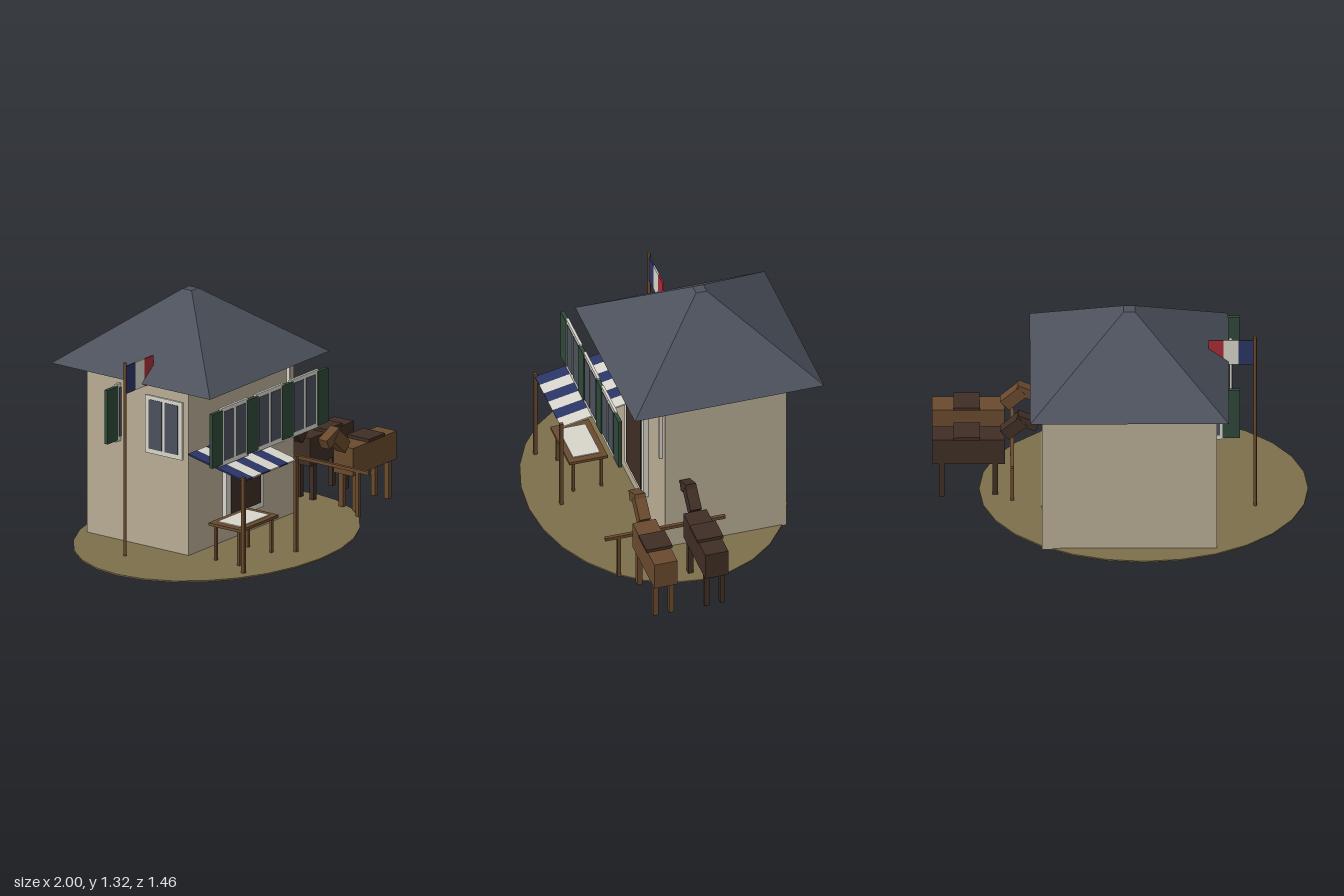
import * as THREE from 'three';

const mat = (name, color) => {
  const m = new THREE.MeshStandardMaterial({ color });
  m.name = name;
  return m;
};

export function createModel() {
  const earth = mat('earth', 0x7d6f4c);
  const plaster = mat('plaster', 0xb9ad95);
  const slate = mat('slate', 0x4c515c);
  const cream = mat('cream', 0xd8d6cb);
  const green = mat('shutter green', 0x30493a);
  const navy = mat('navy', 0x2b3565);
  const red = mat('red', 0xa82c36);
  const wood = mat('wood', 0x6a4a2e);
  const dark = mat('dark brown', 0x3f2e25);

  const model = new THREE.Group();
  const add = (parent, name, geometry, material, x = 0, y = 0, z = 0) => {
    const mesh = new THREE.Mesh(geometry, material);
    mesh.name = name;
    mesh.position.set(x, y, z);
    parent.add(mesh);
    return mesh;
  };
  const box = (parent, name, material, w, h, d, x, y, z) =>
    add(parent, name, new THREE.BoxGeometry(w, h, d), material, x, y, z);
  const group = (name, parent = model) => {
    const g = new THREE.Group();
    g.name = name;
    parent.add(g);
    return g;
  };

  // Oval ground plate
  const ground = add(model, 'ground', new THREE.CylinderGeometry(1, 1, 0.008, 28), earth, -0.125, 0.008, 0.033);
  ground.scale.set(0.875, 1, 0.695);

  // House walls and four-sided roof with a small flat top
  const house = group('house');
  box(house, 'walls', plaster, 0.93, 0.93, 0.676, -0.048, 0.47, -0.199);
  const roofGeo = new THREE.CylinderGeometry(0.03 * Math.SQRT2, 0.528 * Math.SQRT2, 0.385, 4, 1).toNonIndexed();
  roofGeo.rotateY(Math.PI / 4);
  roofGeo.computeVertexNormals();
  add(house, 'roof', roofGeo, slate, -0.048, 1.1275, -0.2);

  // Door
  box(house, 'doorFrame', cream, 0.332, 0.58, 0.028, -0.048, 0.42, 0.152);
  box(house, 'door', dark, 0.262, 0.52, 0.034, -0.046, 0.42, 0.154);

  // Windows: frame, two panes, optional pair of shutters
  const addWindow = (name, x, z, turn, shutters) => {
    const g = group(name, house);
    g.position.set(x, 0.728, z);
    g.rotation.y = turn;
    box(g, 'windowFrame', cream, 0.247, 0.322, 0.015, 0, 0, 0);
    for (const s of [-1, 1]) {
      box(g, 'pane', slate, 0.086, 0.275, 0.02, s * 0.053, 0.002, 0);
      if (shutters) box(g, 'shutter', green, 0.092, 0.302, 0.02, s * 0.157, 0, 0.002 + s * 0.0005);
    }
  };
  for (const x of [-0.433, -0.123, 0.187]) addWindow('frontWindow', x, 0.378, 0, true);
  addWindow('rearWindow', -0.433, -0.319, 0, true);
  addWindow('leftWindow', -0.588, 0.033, -Math.PI / 2, false);
  addWindow('rightWindow', 0.36, 0.033, Math.PI / 2, false);

  // Striped awning on two posts
  const awning = group('awning');
  const cloth = group('awningCloth', awning);
  cloth.position.set(-0.34, 0.561, 0.366);
  cloth.rotation.x = Math.atan2(0.077, 0.373);
  for (let i = 0; i < 6; i++)
    box(cloth, 'stripe', i % 2 ? cream : navy, 0.0775, 0.009, 0.381, (i - 2.5) * 0.0775, 0, 0);
  for (const x of [-0.575, -0.113])
    box(awning, 'awningPost', wood, 0.019, 0.537, 0.019, x, 0.277, 0.551);

  // Table with a cloth
  const table = group('table');
  box(table, 'tableTop', wood, 0.335, 0.016, 0.215, -0.345, 0.213, 0.378);
  box(table, 'tableCloth', cream, 0.26, 0.006, 0.15, -0.345, 0.223, 0.378);
  for (const x of [-0.487, -0.203])
    for (const z of [0.3, 0.456])
      box(table, 'tableLeg', wood, 0.015, 0.2, 0.015, x, 0.106, z);

  // Flagpole and three-band flag
  const flag = group('flag');
  add(flag, 'flagpole', new THREE.CylinderGeometry(0.009, 0.009, 1.085, 8), wood, -0.718, 0.547, -0.13);
  [navy, cream, red].forEach((m, i) =>
    box(flag, 'flagBand', m, 0.08, 0.154, 0.008, -0.67 + i * 0.08, 0.992, -0.13));

  // Hitching rail
  const rail = group('hitchingRail');
  box(rail, 'railBar', wood, 0.02, 0.018, 0.67, 0.574, 0.265, 0.19);
  for (const z of [0.447, -0.07])
    box(rail, 'railPost', wood, 0.02, 0.265, 0.02, 0.574, 0.136, z);

  // Horses facing the rail
  const addHorse = (name, coat, z) => {
    const g = group(name);
    g.position.z = z;
    box(g, 'body', coat, 0.387, 0.156, 0.129, 0.806, 0.288, 0);
    box(g, 'saddle', dark, 0.14, 0.018, 0.145, 0.815, 0.376, 0);
    const neck = box(g, 'neck', coat, 0.13, 0.072, 0.062, 0.565, 0.412, 0);
    neck.rotation.z = -0.735;
    const head = box(g, 'head', coat, 0.122, 0.057, 0.058, 0.497, 0.446, 0);
    head.rotation.z = 0.41;
    for (const x of [0.664, 0.948])
      for (const s of [-1, 1])
        box(g, 'leg', coat, 0.028, 0.22, 0.028, x, 0.11, s * 0.044);
  };
  addHorse('brownHorse', wood, 0.319);
  addHorse('darkHorse', dark, 0.035);

  return model;
}
